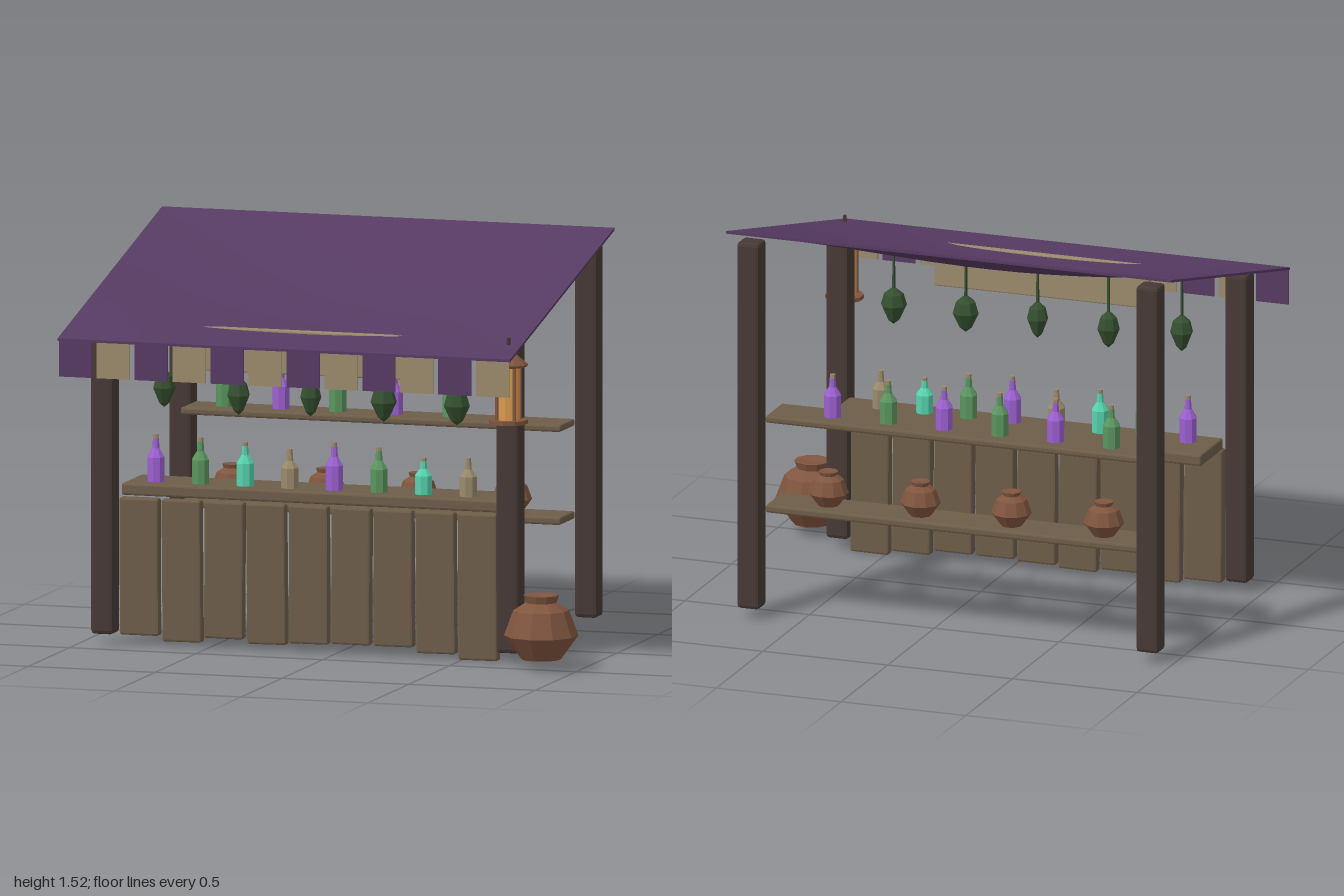
import * as THREE from 'three';
import { RoundedBoxGeometry } from 'three/addons/geometries/RoundedBoxGeometry.js';

const COLORS = {
  canopyPurple: 0x563a62, clothTan: 0x9a8a6c, darkWood: 0x463935, plankWood: 0x6d5d49,
  clay: 0x80553f, glassPurple: 0x9c60d2, glassGreen: 0x5a965e, glassTeal: 0x56d2ac,
  lampGlow: 0xd8984e, herbGreen: 0x35502f,
};

export function createModel() {
  const root = new THREE.Group();
  root.name = 'marketStall';
  const mats = {};
  for (const [name, color] of Object.entries(COLORS)) {
    mats[name] = new THREE.MeshStandardMaterial({ color });
    mats[name].name = name;
  }

  const add = (name, geo, mat, x, y, z, parent = root) => {
    const m = new THREE.Mesh(geo, mats[mat]);
    m.name = name;
    m.position.set(x, y, z);
    parent.add(m);
    return m;
  };
  const facet = (geo) => {
    const g = geo.index ? geo.toNonIndexed() : geo;
    g.computeVertexNormals();
    return g;
  };
  // Chamfered timber given by its extents
  const timber = (name, mat, x0, x1, y0, y1, z0, z1, bevel = 0.008) =>
    add(name, facet(new RoundedBoxGeometry(x1 - x0, y1 - y0, z1 - z0, 1, bevel)), mat,
      (x0 + x1) / 2, (y0 + y1) / 2, (z0 + z1) / 2);
  const lathe = (pts, sides) =>
    facet(new THREE.LatheGeometry(pts.map(([r, y]) => new THREE.Vector2(r, y)), sides));

  // Corner posts
  for (const x of [-0.905, 0.695]) {
    timber('frontPost', 'darkWood', x - 0.045, x + 0.045, 0.04, 1.25, 0.312, 0.4, 0.014);
    timber('backPost', 'darkWood', x - 0.045, x + 0.045, 0.04, 1.478, -0.645, -0.558, 0.014);
  }

  // Sloping canopy that sags in the middle
  const W = 1.785, D = 1.28;
  const cloth = new THREE.BoxGeometry(W, 0.01, D, 16, 1, 14);
  const p = cloth.attributes.position;
  for (let i = 0; i < p.count; i++) {
    const u = p.getX(i) / W + 0.5, v = 0.5 - p.getZ(i) / D;
    p.setY(i, p.getY(i) + 1.19 + 0.32 * v - 0.07 * Math.sin(Math.PI * u) * Math.sin(Math.PI * v));
  }
  cloth.computeVertexNormals();
  add('canopy', cloth, 'canopyPurple', -0.107, 0, 0.005);

  // Alternating valance flaps along the front edge
  const flap = new THREE.BoxGeometry(0.13, 0.14, 0.006);
  for (let i = 0; i < 12; i++) {
    add('valanceFlap', flap, i % 2 ? 'clothTan' : 'canopyPurple', -0.93 + i * 0.1497, 1.12, 0.641);
  }

  // Blank board hung under the canopy
  timber('hangingBoard', 'clothTan', -0.535, 0.325, 1.06, 1.227, 0.37, 0.4, 0.005);

  // Counter and its front planks
  timber('counterTop', 'plankWood', -0.855, 0.645, 0.56, 0.605, 0.075, 0.315);
  [0.035, 0.017, 0.037, 0.023, 0.032, 0.037, 0.037, 0.018, 0].forEach((y0, i) => {
    const x = -0.775 + i * 0.167;
    const plank = timber('frontPlank', 'plankWood', x - 0.077, x + 0.077, y0, 0.556, 0.305, 0.35);
    plank.rotation.z = [0.005, 0.01, -0.006, 0.012, 0.004, -0.004, 0.006, 0.01, 0.008][i] * 0.8;
  });

  // Back shelves
  timber('upperShelf', 'plankWood', -0.855, 0.645, 0.763, 0.79, -0.59, -0.41);
  timber('lowerShelf', 'plankWood', -0.855, 0.645, 0.41, 0.44, -0.59, -0.41);

  // Bottles with corks
  const bottleGeo = lathe([[0, 0], [0.034, 0], [0.034, 0.088], [0.014, 0.12], [0.012, 0.155], [0, 0.155]], 8);
  const corkGeo = facet(new THREE.CylinderGeometry(0.011, 0.011, 0.022, 8));
  const bottle = (mat, x, y, z, height) => {
    const g = new THREE.Group();
    g.name = 'bottle';
    g.position.set(x, y, z);
    g.scale.y = height / 0.17;
    add('bottleGlass', bottleGeo, mat, 0, 0, 0, g);
    add('bottleCork', corkGeo, 'clothTan', 0, 0.159, 0, g);
    root.add(g);
  };
  const glass = ['glassPurple', 'glassGreen', 'glassTeal', 'clothTan'];
  [0.18, 0.175, 0.165, 0.147, 0.18, 0.17, 0.137, 0.145].forEach((h, i) =>
    bottle(glass[i % 4], -0.745 + i * 0.176, 0.605, 0.23, h));
  for (let i = 0; i < 6; i++) bottle(glass[1 - i % 2], -0.711 + i * 0.2235, 0.79, -0.503, 0.165);

  // Clay pots: one large on the ground, four small on the lower shelf
  const potGeo = lathe([[0, 0], [0.075, 0], [0.14, 0.09], [0.105, 0.185], [0.058, 0.215],
    [0.067, 0.243], [0.052, 0.243], [0, 0.236]], 10);
  add('largePot', potGeo, 'clay', 0.858, 0.04, 0.487);
  for (const x of [-0.68, -0.31, 0.055, 0.424]) {
    add('smallPot', potGeo, 'clay', x, 0.44, -0.5).scale.setScalar(0.545);
  }

  // Hanging herb bundles
  const herbGeo = lathe([[0, 0], [0.022, 0.018], [0.048, 0.075], [0.036, 0.118], [0.01, 0.14], [0, 0.14]], 7);
  const stemGeo = facet(new THREE.CylinderGeometry(0.005, 0.007, 0.2, 5));
  [[-0.668, 0.91, 0.92], [-0.374, 0.893, 0.9], [-0.09, 0.9, 0.85], [0.198, 0.893, 1.05], [0.487, 0.893, 1.05]]
    .forEach(([x, y, s], i) => {
      const herb = add('herbBundle', herbGeo, 'herbGreen', x, y, 0.368);
      herb.scale.set(s, 1, s);
      herb.rotation.y = i * 1.3;
      add('herbStem', stemGeo, 'herbGreen', x, 1.12, 0.368);
    });

  // Lantern at the front corner
  const lantern = new THREE.Group();
  lantern.name = 'lantern';
  lantern.position.set(0.733, 0, 0.5);
  root.add(lantern);
  const drum = (name, mat, rTop, rBottom, y0, y1, sides = 10) =>
    add(name, facet(new THREE.CylinderGeometry(rTop, rBottom, y1 - y0, sides)), mat, 0, (y0 + y1) / 2, 0, lantern);
  drum('lanternBase', 'clay', 0.073, 0.073, 0.93, 0.945);
  drum('lanternGlass', 'lampGlow', 0.044, 0.044, 0.945, 1.152);
  drum('lanternCap', 'clay', 0.024, 0.075, 1.155, 1.198);
  drum('lanternRim', 'clay', 0.075, 0.07, 1.147, 1.156);
  drum('lanternHook', 'darkWood', 0.007, 0.007, 1.19, 1.255, 6);
  for (let i = 0; i < 4; i++) {
    const a = Math.PI / 4 + i * Math.PI / 2;
    add('lanternBar', new THREE.BoxGeometry(0.01, 0.21, 0.01), 'clay',
      0.05 * Math.cos(a), 1.045, 0.05 * Math.sin(a), lantern);
  }
  return root;
}
